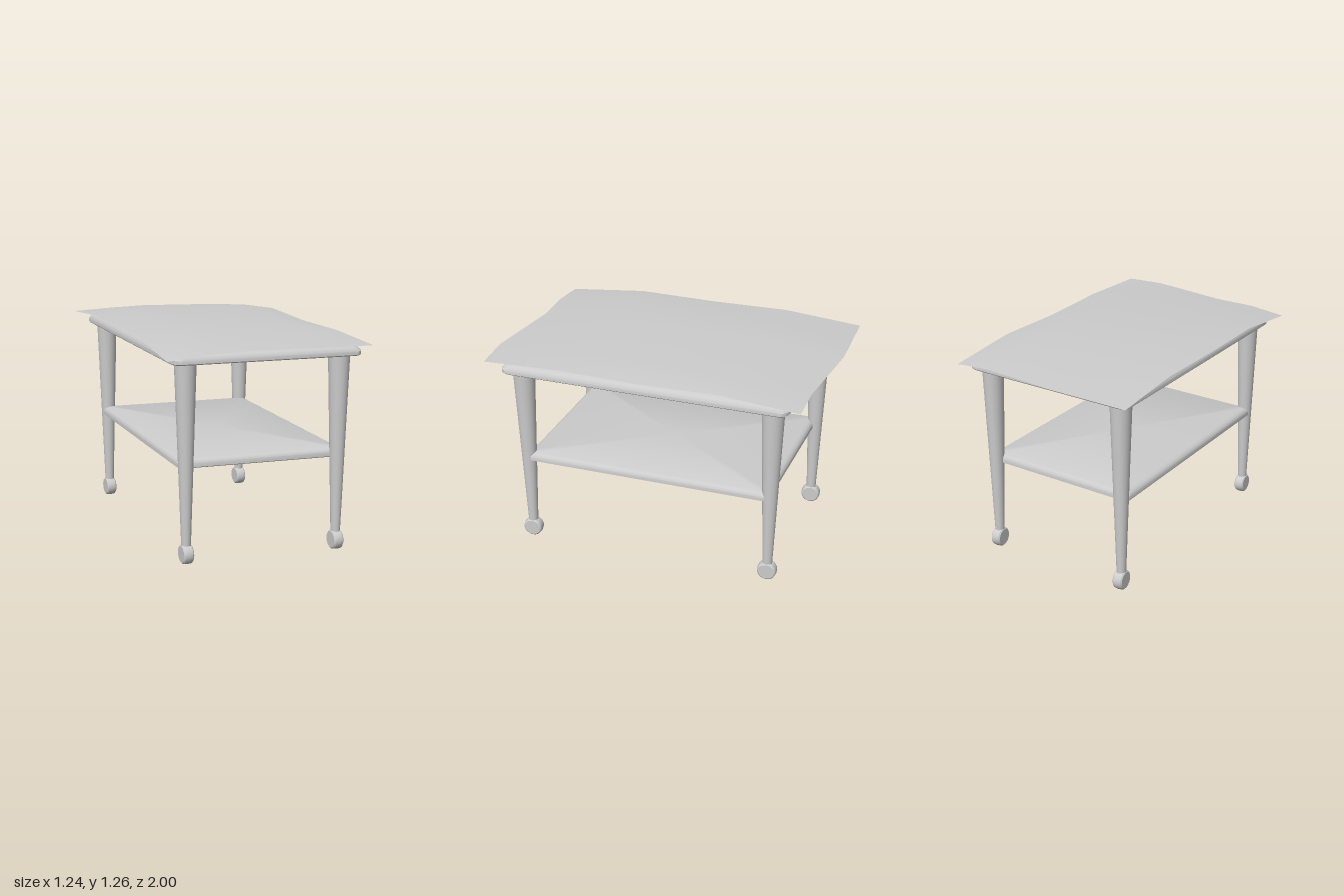
import * as THREE from 'three';
import { toCreasedNormals } from 'three/addons/utils/BufferGeometryUtils.js';

const grey = new THREE.MeshStandardMaterial({ color: 0xcccccc });
const clothGrey = new THREE.MeshStandardMaterial({ color: 0xcccccc, side: THREE.DoubleSide });

// The trolley stands slightly skewed: u runs across its width, v along its length
const place = (u, v) => [0.02 + u - 0.037 * v, 0.006 + 0.1 * u + v];

function makeMesh(name, geometry, material = grey) {
  const mesh = new THREE.Mesh(geometry, material);
  mesh.name = name;
  return mesh;
}

// Points of a rounded rectangle, skewed into place
function outline(halfU, halfV, radius) {
  const points = [];
  const corners = [[1, 1], [-1, 1], [-1, -1], [1, -1]];
  corners.forEach(([su, sv], c) => {
    for (let k = 0; k <= 4; k++) {
      const a = (c + k / 4) * Math.PI / 2;
      points.push(place(su * (halfU - radius) + radius * Math.cos(a),
        sv * (halfV - radius) + radius * Math.sin(a)));
    }
  });
  return points;
}

// Board lofted through layers of [height, inset], with closed ends
function board(halfU, halfV, radius, layers) {
  const pos = [], index = [];
  let n = 0;
  for (const [y, inset] of layers) {
    const ring = outline(halfU - inset, halfV - inset, radius);
    n = ring.length;
    for (const [x, z] of ring) pos.push(x, y, z);
  }
  const last = (layers.length - 1) * n;
  const [cx, cz] = place(0, 0);
  const bottom = pos.length / 3, top = bottom + 1;
  pos.push(cx, layers[0][0], cz, cx, layers[layers.length - 1][0], cz);
  for (let j = 0; j < n; j++) {
    const k = (j + 1) % n;
    for (let r = 0; r < last; r += n) {
      index.push(r + j, r + n + j, r + k, r + k, r + n + j, r + n + k);
    }
    index.push(bottom, j, k, top, last + k, last + j);
  }
  const geometry = new THREE.BufferGeometry();
  geometry.setAttribute('position', new THREE.Float32BufferAttribute(pos, 3));
  geometry.setIndex(index);
  return toCreasedNormals(geometry, 0.7);
}

// Loose cloth, wavy at the two short ends and drooping towards its corners
function cloth() {
  const back = [[-0.55, -1], [-0.3, -0.99], [-0.08, -0.98], [0.4, -0.885], [0.615, -0.865]];
  const front = [[-0.62, 0.86], [-0.4, 0.88], [-0.16, 0.885], [0.32, 0.99], [0.545, 0.995]];
  const rows = [
    [0, [1.205, 1.215, 1.22, 1.215, 1.2]],
    [0.25, [1.243, 1.26, 1.26, 1.26, 1.24]],
    [0.5, [1.235, 1.26, 1.26, 1.26, 1.228]],
    [0.75, [1.24, 1.26, 1.26, 1.26, 1.238]],
    [1, [1.19, 1.213, 1.22, 1.225, 1.222]],
  ];
  const pos = [], index = [];
  rows.forEach(([t, heights], r) => heights.forEach((y, c) => {
    pos.push(THREE.MathUtils.lerp(back[c][0], front[c][0], t), y,
      THREE.MathUtils.lerp(back[c][1], front[c][1], t));
    if (r < 4 && c < 4) {
      const a = r * 5 + c;
      index.push(a, a + 5, a + 1, a + 1, a + 5, a + 6);
    }
  }));
  const geometry = new THREE.BufferGeometry();
  geometry.setAttribute('position', new THREE.Float32BufferAttribute(pos, 3));
  geometry.setIndex(index);
  geometry.computeVertexNormals();
  return geometry;
}

// Tapered leg standing on a small fixed wheel
function leg(name, u, v) {
  const group = new THREE.Group();
  group.name = name;
  const shaft = makeMesh('legShaft', new THREE.CylinderGeometry(0.062, 0.027, 1.06, 28));
  shaft.position.y = 0.63;
  shaft.scale.z = 1.06;
  const profile = [[0, -0.03], [0.048, -0.03], [0.056, -0.023], [0.059, 0],
    [0.056, 0.023], [0.048, 0.03], [0, 0.03]].map(([r, y]) => new THREE.Vector2(r, y));
  const wheel = makeMesh('wheel', toCreasedNormals(new THREE.LatheGeometry(profile, 28), 0.6));
  wheel.rotation.z = Math.PI / 2;
  wheel.position.y = 0.059;
  group.add(shaft, wheel);
  const [x, z] = place(u, v);
  group.position.set(x, 0, z);
  return group;
}

export function createModel() {
  const model = new THREE.Group();
  model.name = 'trolleyTable';

  model.add(makeMesh('tableCloth', cloth(), clothGrey));
  model.add(makeMesh('tableTop', board(0.548, 0.85, 0.05,
    [[1.15, 0.006], [1.156, 0], [1.176, 0], [1.196, 0.014], [1.21, 0.035]])));
  model.add(makeMesh('lowerShelf', board(0.487, 0.742, 0.03,
    [[0.55, 0.01], [0.556, 0], [0.58, 0], [0.596, 0.012], [0.605, 0.03]])));

  for (const [endName, v] of [['front', 0.745], ['back', -0.745]]) {
    for (const [sideName, u] of [['Left', 0.448], ['Right', -0.448]]) {
      model.add(leg(`${endName}${sideName}Leg`, u, v));
    }
  }
  return model;
}
